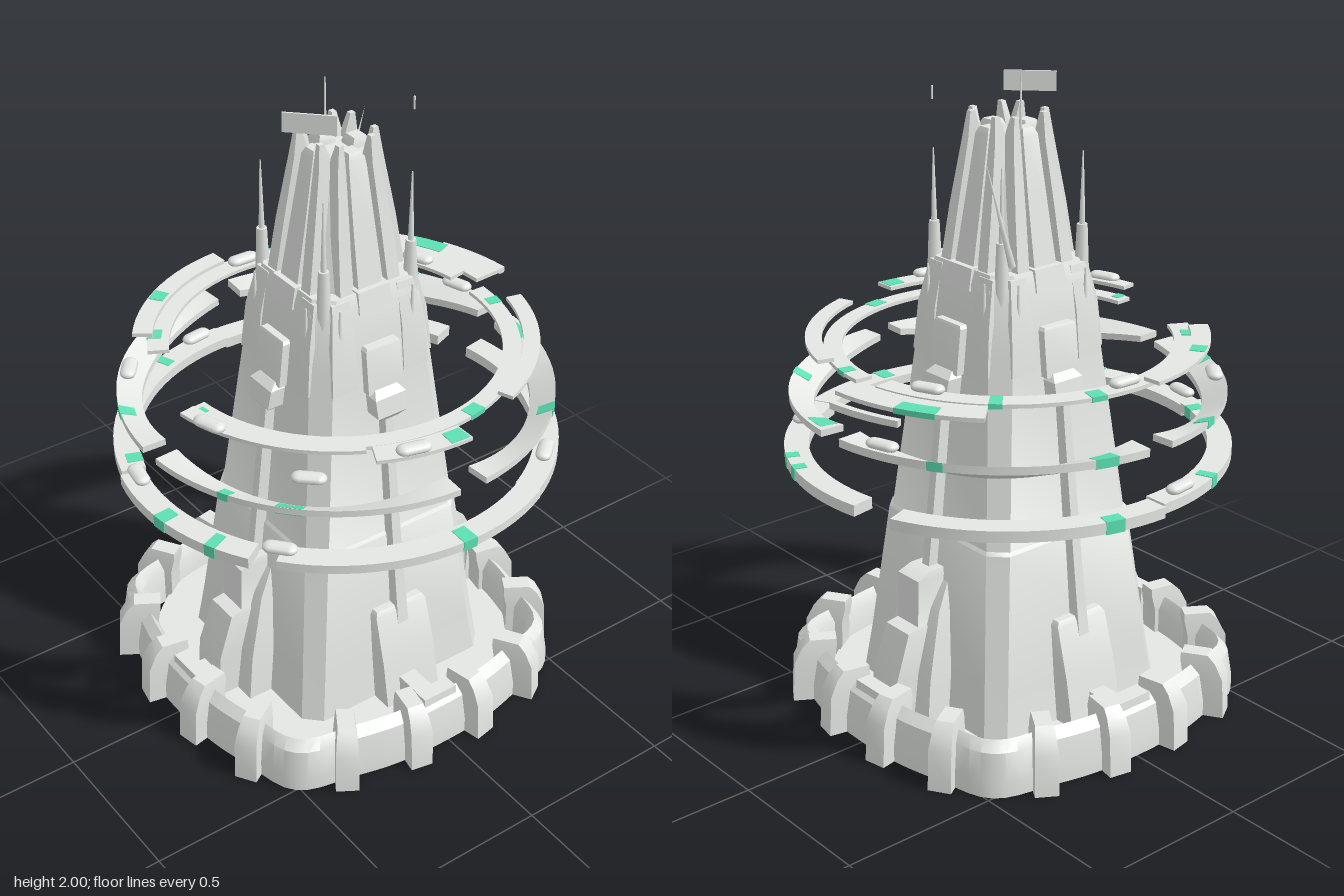
import * as THREE from 'three';
import { toCreasedNormals } from 'three/addons/utils/BufferGeometryUtils.js';

const stone = new THREE.MeshStandardMaterial({ color: 0xe9ece9 });
stone.name = 'pale grey';
const teal = new THREE.MeshStandardMaterial({ color: 0x5de0b4 });
teal.name = 'teal';
const RAD = Math.PI / 180;

// Skin a list of equal-length point loops, closing both ends
function loft(loops) {
  const n = loops[0].length, last = (loops.length - 1) * n, index = [];
  for (let i = 0; i < loops.length - 1; i++) {
    for (let j = 0; j < n; j++) {
      const a = i * n + j, b = i * n + (j + 1) % n;
      index.push(a, a + n, b + n, a, b + n, b);
    }
  }
  for (let j = 1; j < n - 1; j++) index.push(0, j, j + 1, last, last + j + 1, last + j);
  const g = new THREE.BufferGeometry();
  g.setAttribute('position', new THREE.Float32BufferAttribute(loops.flat(2), 3));
  g.setIndex(index);
  return toCreasedNormals(g, 0.6);
}

function add(parent, name, geometry, material = stone) {
  const mesh = new THREE.Mesh(geometry, material);
  mesh.name = name;
  parent.add(mesh);
  return mesh;
}

// Vertical loft of square sections with cut corners: [y, half width, cut]
const block = (rows) => loft(rows.map(([y, h, c]) => {
  const k = h - c;
  return [[h, y, -k], [h, y, k], [k, y, h], [-k, y, h], [-h, y, k], [-h, y, -k], [-k, y, -h], [k, y, -h]];
}));

// Vertical loft of rectangles facing +z: [y, half width, z inner, z outer, x centre]
const slab = (rows) => loft(rows.map(([y, w, zi, zo, x = 0]) =>
  [[x + w, y, zi], [x + w, y, zo], [x - w, y, zo], [x - w, y, zi]]));

// Curved ring plate [inner r, outer r, bottom, top, from, to, inner sag], or a
// part of it between two angles and two fractions of its width
function arc([r0, r1, y0, y1, from, to, sag = 0], a0 = from, a1 = to, u0 = 0, u1 = 1, proud = 0) {
  const steps = Math.max(2, Math.ceil((a1 - a0) / 4)), loops = [];
  const ri = r0 + (r1 - r0) * u0 - proud, ro = r0 + (r1 - r0) * u1 + proud;
  for (let i = 0; i <= steps; i++) {
    const a = a0 + (a1 - a0) * i / steps, c = Math.cos(a * RAD), s = Math.sin(a * RAD);
    const drop = sag * Math.sin(Math.PI * (a - from) / (to - from)), di = drop * (1 - u0), dn = drop * (1 - u1);
    loops.push([[ri, y0 - di - proud], [ri, y1 - di + proud], [ro, y1 - dn + proud], [ro, y0 - dn - proud]]
      .map(([r, y]) => [r * c, y, r * s]));
  }
  return loft(loops);
}

function rod(parent, name, x, z, y0, y1, r0, r1) {
  add(parent, name, new THREE.CylinderGeometry(r1, r0, y1 - y0, 8)).position.set(x, (y0 + y1) / 2, z);
}

function createBase() {
  const base = new THREE.Group();
  base.name = 'base';
  base.position.z = 0.015;
  // Rampart radius: a rounded square with a bastion bulging at each corner
  const R = (deg) => {
    const s = Math.sin(2 * deg * RAD);
    return 0.6 + 0.05 * s ** 2 + 0.055 * s ** 16;
  };
  const loops = [];
  for (let d = 0; d <= 360; d += 3) {
    const r = R(d), c = Math.cos(d * RAD), s = Math.sin(d * RAD);
    loops.push([[r - 0.07, 0], [r - 0.07, 0.13], [r - 0.045, 0.17], [r - 0.015, 0.14], [r, 0.05], [r, 0]]
      .map(([q, y]) => [q * c, y, q * s]));
  }
  add(base, 'rampart', loft(loops));
  // Buttress posts round the rampart
  for (let k = 0; k < 4; k++) {
    for (const d of [11, 32, 58, 79]) {
      const r = R(d);
      const post = add(base, 'rampartPost', slab([[0, 0.036, r - 0.08, r + 0.052], [0.13, 0.036, r - 0.08, r + 0.045],
        [0.18, 0.031, r - 0.09, r + 0.02], [0.205, 0.027, r - 0.09, r - 0.005]]));
      post.rotation.y = (k * 90 + d) * RAD;
    }
    // Bridge from the tower to the rampart
    const bridge = new THREE.Group();
    bridge.name = 'bridge';
    bridge.rotation.y = k * 90 * RAD;
    add(bridge, 'walkway', slab([[0.03, 0.035, 0.3, 0.56], [0.14, 0.03, 0.3, 0.56]]));
    add(bridge, 'gate', slab([[0.03, 0.07, 0.5, 0.58], [0.18, 0.06, 0.52, 0.57]]));
    base.add(bridge);
  }
  // Courtyard floor over a notched foundation frame
  add(base, 'courtyardFloor', new THREE.CylinderGeometry(0.57, 0.57, 0.02, 48)).position.y = 0.04;
  const frame = new THREE.Shape().absarc(0, 0, 0.585, 0, Math.PI * 2);
  const notch = [[0.55, -11], [0.55, 11], [0.44, 14], [0.44, 32], [0.53, 36], [0.53, 54], [0.44, 58], [0.44, 76]];
  const hole = [];
  for (let k = 0; k < 4; k++) {
    for (const [r, d] of notch) {
      hole.push(new THREE.Vector2(r * Math.cos((d + k * 90) * RAD), r * Math.sin((d + k * 90) * RAD)));
    }
  }
  frame.holes.push(new THREE.Path(hole));
  const foundation = new THREE.ExtrudeGeometry(frame, { depth: 0.032, bevelEnabled: false, curveSegments: 48 });
  add(base, 'foundationFrame', foundation.rotateX(-Math.PI / 2));
  return base;
}

function createTower() {
  const tower = new THREE.Group();
  tower.name = 'tower';
  add(tower, 'towerBody', block([[0.04, 0.35, 0.05], [0.2, 0.33, 0.05], [0.62, 0.285, 0.05], [0.63, 0.277, 0.05],
    [1.2, 0.217, 0.05], [1.25, 0.212, 0.05], [1.4, 0.19, 0.05], [1.44, 0.175, 0.05]]));
  add(tower, 'spire', block([[1.43, 0.145, 0.04], [1.78, 0.085, 0.02], [1.81, 0.075, 0.02]]));

  for (let k = 0; k < 4; k++) {
    const side = new THREE.Group();
    side.name = 'towerSide';
    side.rotation.y = k * Math.PI / 2;
    tower.add(side);
    // Foot buttresses: tall on the front and back, short and broad on the flanks
    if (k % 2 === 0) {
      add(side, 'footButtress', slab([[0.04, 0.13, 0.25, 0.43], [0.2, 0.12, 0.25, 0.41], [0.4, 0.09, 0.25, 0.35], [0.48, 0.07, 0.25, 0.3]]));
      add(side, 'poleFoot', slab([[0.04, 0.06, 0.25, 0.5], [0.2, 0.06, 0.25, 0.49], [0.34, 0.055, 0.25, 0.44],
        [0.35, 0.05, 0.25, 0.4], [0.5, 0.05, 0.25, 0.395], [0.52, 0.045, 0.25, 0.35]]));
    } else {
      add(side, 'poleFoot', slab([[0.04, 0.1, 0.25, 0.42], [0.2, 0.098, 0.25, 0.39], [0.36, 0.095, 0.25, 0.345], [0.375, 0.085, 0.25, 0.335]]));
    }
    // Leaning pole with its head block
    add(side, 'pole', slab([[0.3, 0.02, 0.25, 0.36], [0.55, 0.016, 0.25, 0.325], [1.06, 0.014, 0.2, 0.265]]));
    add(side, 'poleHead', slab([[1.04, 0.03, 0.18, 0.27], [1.06, 0.052, 0.18, 0.285], [1.12, 0.055, 0.18, 0.275], [1.14, 0.04, 0.18, 0.25]]));
    add(side, 'headBlock', slab([[1.13, 0.062, 0.18, 0.25], [1.27, 0.062, 0.18, 0.235], [1.28, 0.055, 0.18, 0.23]]));
    add(side, 'crownPanel', slab([[1.38, 0.06, 0.15, 0.2], [1.445, 0.055, 0.12, 0.185]]));
    // Shoulder plates and spire fins flanking the centre strip
    for (const s of [-1, 1]) {
      add(side, 'shoulderPlate', slab([[1.15, 0.045, 0.18, 0.226, s * 0.13], [1.3, 0.04, 0.15, 0.212, s * 0.125], [1.43, 0.03, 0.13, 0.182, s * 0.115]]));
      add(side, 'spireFin', slab([[1.43, 0.022, 0.08, 0.17, s * 0.085], [1.6, 0.02, 0.07, 0.145, s * 0.075],
        [1.8, 0.014, 0.06, 0.112, s * 0.06], [1.88, 0.008, 0.085, 0.102, s * 0.055]]));
      rod(side, 'edgeFinial', s * 0.13, 0.2, 1.2, 1.42, 0.012, 0.003);
    }
    add(side, 'spireRib', slab([[1.43, 0.042, 0.08, 0.17], [1.62, 0.036, 0.06, 0.135], [1.82, 0.028, 0.04, 0.1], [1.84, 0.02, 0.05, 0.09]]));
    // Corner pylon with antenna
    rod(side, 'cornerPylon', 0.155, 0.155, 1.3, 1.54, 0.026, 0.016);
    rod(side, 'cornerAntenna', 0.155, 0.155, 1.54, 1.76, 0.009, 0.002);
  }

  // Mast, banner and leaning spike
  rod(tower, 'mast', -0.08, -0.02, 1.7, 2, 0.006, 0.002);
  const banner = add(tower, 'banner', new THREE.BoxGeometry(0.155, 0.06, 0.006));
  banner.position.set(0.035, 1.94, 0.115);
  banner.rotation.y = Math.PI / 4;
  rod(tower, 'beacon', 0.1, -0.2, 1.92, 1.96, 0.003, 0.003);
  const spike = add(tower, 'leaningSpike', new THREE.ConeGeometry(0.012, 0.34, 6));
  spike.position.set(-0.19, 1.64, -0.195);
  spike.rotation.x = -0.29;
  return tower;
}

function createRings() {
  const rings = new THREE.Group();
  rings.name = 'rings';
  const plates = {
    lowerRing: [[0.615, 0.69, 0.815, 0.85, 57, 105], [0.61, 0.685, 0.83, 0.862, 105, 180], [0.615, 0.69, 0.82, 0.855, 180, 249],
      [0.61, 0.685, 0.825, 0.86, 260, 335], [0.615, 0.69, 0.833, 0.862, 335, 410]],
    middleRing: [[0.59, 0.665, 1.015, 1.036, 4, 87, 0.045], [0.59, 0.665, 1.015, 1.036, 93, 176, 0.045],
      [0.59, 0.67, 1.015, 1.04, 184, 266, 0.045], [0.59, 0.665, 1.015, 1.036, 274, 356, 0.045]],
    upperRing: [[0.5, 0.555, 1.16, 1.172, -88, 85], [0.5, 0.565, 1.17, 1.182, 118, 262], [0.56, 0.61, 1.188, 1.2, 28, 82],
      [0.55, 0.61, 1.188, 1.2, 125, 176], [0.56, 0.66, 1.165, 1.178, 226, 268], [0.56, 0.61, 1.188, 1.2, 285, 340],
      [0.58, 0.65, 1.178, 1.19, 0, 26], [0.68, 0.7, 1.14, 1.16, 246, 266]],
  };
  // Teal patches just proud of the plates: [plate, from, to, inner fraction, outer fraction]
  const patches = {
    lowerRing: [[0, 82, 86, 0.3, 1], [0, 66, 69, 0.2, 1], [1, 108, 112, 0, 0.6], [1, 157, 160, 0.3, 1], [2, 192, 197, 0.5, 1],
      [3, 287, 290, 0.5, 1], [3, 295, 298, 0.5, 1], [4, 360, 364, 0.2, 1]],
    middleRing: [[0, 44, 51, 0.3, 0.9], [0, 63, 66, 0.5, 1], [1, 109, 113, 0.4, 1], [1, 156, 160, 0.4, 1], [2, 193, 199, 0.4, 1],
      [2, 236, 240, 0.5, 1], [3, 276, 284, 0.1, 0.8], [3, 317, 321, 0.4, 1]],
    upperRing: [[0, -14, -8, 0.3, 1], [0, 80, 83, 0.4, 1], [0, -81, -77, 0.3, 1], [1, 125, 130, 0.4, 1], [1, 191, 196, 0.3, 1],
      [1, 222, 226, 0, 1], [3, 144, 149, 0.2, 0.9], [4, 238, 249, 0.5, 1], [6, 0.5, 6, 0.2, 0.9]],
  };
  for (const [name, list] of Object.entries(plates)) {
    for (const plate of list) add(rings, name, arc(plate));
    for (const [i, ...cut] of patches[name]) add(rings, 'tealPatch', arc(list[i], ...cut, 0.002), teal);
  }

  // Flattened pods riding the rings: [radius, y, angle]
  const pods = [[0.65, 0.88, 100], [0.65, 0.88, 50], [0.66, 0.88, 172], [0.65, 0.88, 320], [0.63, 1.055, 128], [0.54, 1.055, 44],
    [0.65, 1.055, 253], [0.63, 1.2, 16], [0.53, 1.195, 182], [0.52, 1.195, 246], [0.6, 1.205, 72]];
  for (const [r, y, d] of pods) {
    const pod = add(rings, 'ringPod', new THREE.CapsuleGeometry(0.025, 0.055, 4, 10).rotateX(Math.PI / 2));
    pod.scale.y = 0.6;
    pod.position.set(r * Math.cos(d * RAD), y, r * Math.sin(d * RAD));
    pod.rotation.y = -d * RAD;
  }
  return rings;
}

export function createModel() {
  const model = new THREE.Group();
  model.name = 'ringedTower';
  model.add(createBase(), createTower(), createRings());
  return model;
}
